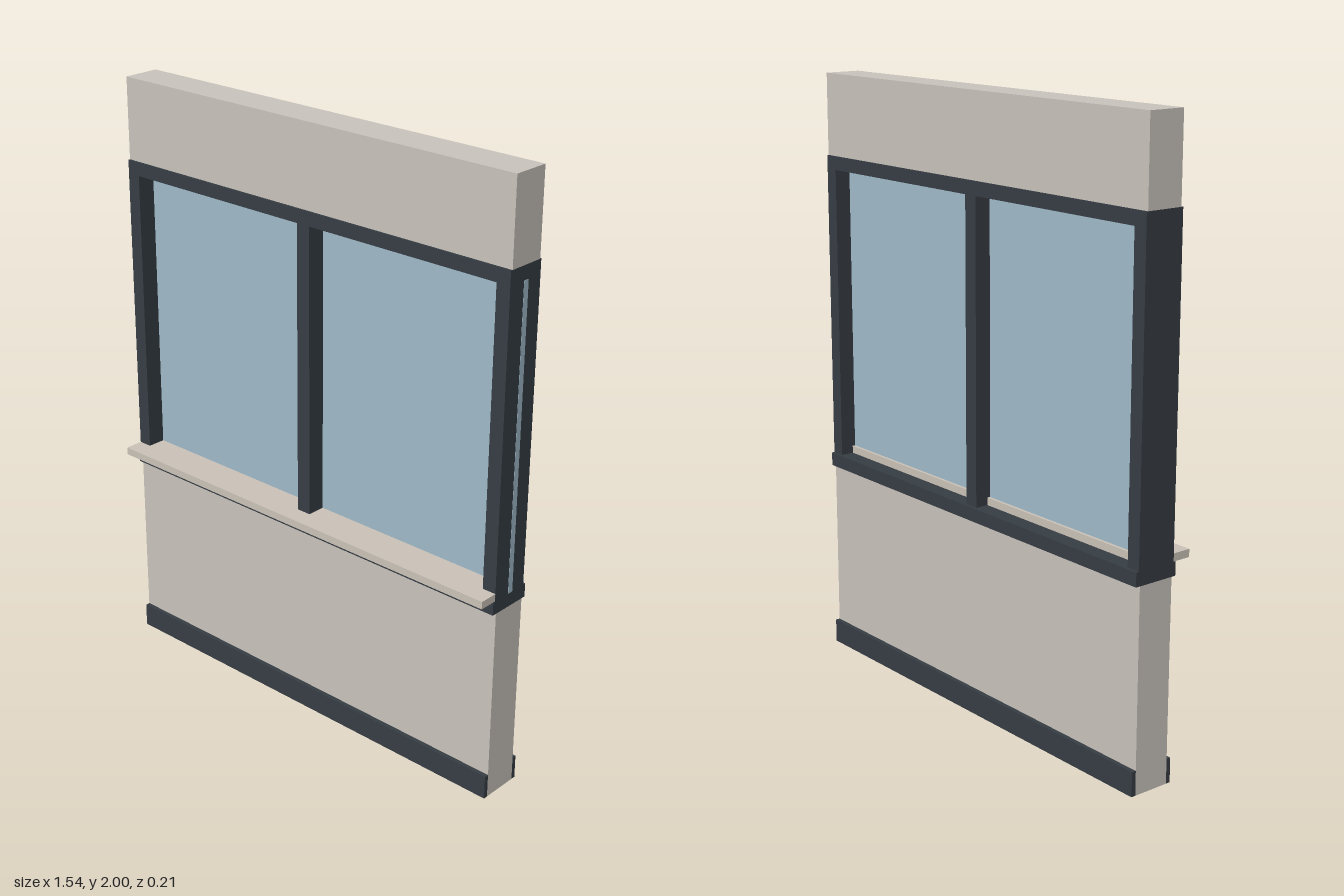
import * as THREE from 'three';

export function createModel() {
  const group = new THREE.Group();
  group.name = 'windowWallPanel';

  const material = (name, color) => {
    const m = new THREE.MeshStandardMaterial({ color });
    m.name = name;
    return m;
  };
  const plaster = material('plaster', 0xc9c4bc);
  const darkMetal = material('darkMetal', 0x363d44);
  const glass = material('glass', 0xa0bac9);
  const sillStone = material('sillStone', 0xcbc3b8);

  // Box given by its limits on each axis
  const box = (name, mat, [x0, x1], [y0, y1], [z0, z1]) => {
    const mesh = new THREE.Mesh(new THREE.BoxGeometry(x1 - x0, y1 - y0, z1 - z0), mat);
    mesh.position.set((x0 + x1) / 2, (y0 + y1) / 2, (z0 + z1) / 2);
    mesh.name = name;
    group.add(mesh);
  };

  const W = 0.77;
  const full = [-W, W];
  const wallZ = [-0.09, 0.035];
  const frameZ = [-0.095, 0.042];

  // Solid wall below and above the window
  box('lowerWall', plaster, full, [0, 0.655], wallZ);
  box('upperWall', plaster, full, [1.73, 2], wallZ);

  // Skirting boards on both faces
  box('frontSkirting', darkMetal, full, [0, 0.08], [0.035, 0.05]);
  box('backSkirting', darkMetal, full, [0, 0.08], [-0.105, -0.09]);

  // Window frame: rails, side posts and centre mullion
  box('bottomRail', darkMetal, full, [0.655, 0.7], [-0.105, 0.05]);
  box('topRail', darkMetal, full, [1.685, 1.73], frameZ);
  for (const [name, x0, x1] of [
    ['rightPost', -W, -0.723],
    ['mullion', -0.025, 0.025],
    ['leftPost', 0.723, W],
  ]) box(name, darkMetal, [x0, x1], [0.7, 1.685], frameZ);

  // Glass sheet, its edge showing through the left post
  box('glassPane', glass, [-W + 0.001, W + 0.0008], [0.7, 1.685], [-0.04, -0.02]);

  // Window sill running through the frame and out to the front
  box('windowSill', sillStone, [-W + 0.0005, W - 0.0005], [0.7, 0.725], [-0.05, 0.105]);

  return group;
}
